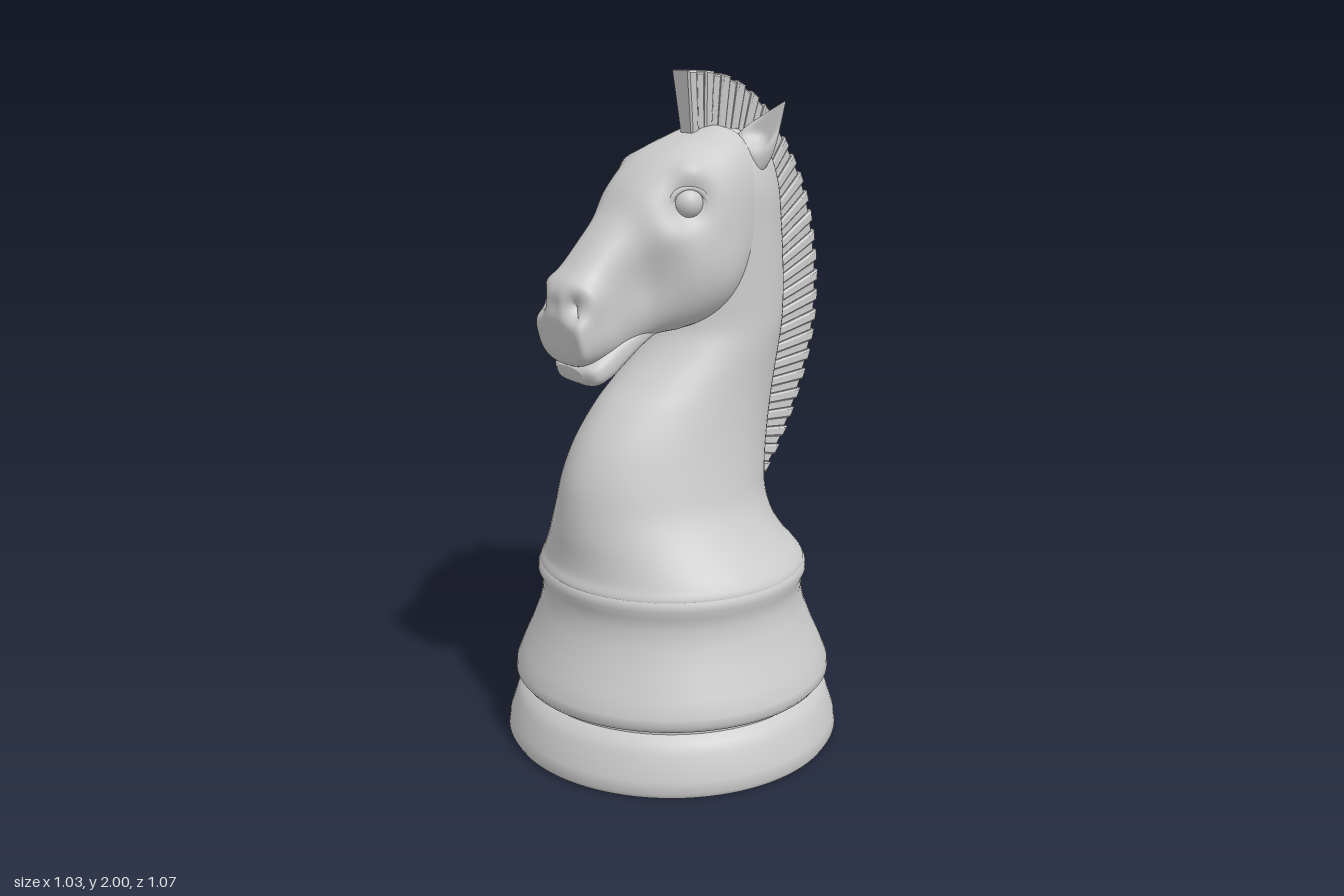
import * as THREE from 'three';
import { toCreasedNormals } from 'three/addons/utils/BufferGeometryUtils.js';

const V2 = (p) => new THREE.Vector2(...p);
const material = new THREE.MeshStandardMaterial({ color: 0xcccccc });

function add(parent, name, geometry) {
  const mesh = new THREE.Mesh(geometry, material);
  mesh.name = name;
  parent.add(mesh);
  return mesh;
}

// Smooth closed skin through oval sections.
// Station: [edgeA z, edgeA y, edgeB z, edgeB y, half width, narrowing toward edge A]
function loft(stations, rows, cols, power) {
  const a = new THREE.CatmullRomCurve3(stations.map((s) => new THREE.Vector3(s[4], s[1], s[0])));
  const b = new THREE.CatmullRomCurve3(stations.map((s) => new THREE.Vector3(s[5] || 0, s[3], s[2])));
  const pos = [], index = [];
  const bend = (v) => Math.sign(v) * Math.abs(v) ** (2 / power);
  for (let i = 0; i <= rows; i++) {
    const p = a.getPoint(i / rows), q = b.getPoint(i / rows);
    for (let j = 0; j < cols; j++) {
      const t = (j / cols) * Math.PI * 2;
      const c = bend(Math.cos(t)), s = bend(Math.sin(t));
      pos.push(p.x * s * (1 - q.x * c), (p.y + q.y + (p.y - q.y) * c) / 2, (p.z + q.z + (p.z - q.z) * c) / 2);
      if (i < rows) {
        const k = i * cols, n = (j + 1) % cols;
        index.push(k + j, k + cols + j, k + n, k + n, k + cols + j, k + cols + n);
      }
    }
  }
  // End caps
  const first = stations[0], last = stations[stations.length - 1];
  const base = (rows + 1) * cols;
  for (const s of [first, last]) pos.push(0, (s[1] + s[3]) / 2, (s[0] + s[2]) / 2);
  for (let j = 0; j < cols; j++) {
    const n = (j + 1) % cols, k = rows * cols;
    index.push(base, j, n, base + 1, k + n, k + j);
  }
  const g = new THREE.BufferGeometry();
  g.setAttribute('position', new THREE.Float32BufferAttribute(pos, 3));
  g.setIndex(index);
  g.computeVertexNormals();
  return g;
}

// Push the surface in or out around mirrored spots: [x, y, z, radius, amount]
function sculpt(g, spots) {
  const P = g.attributes.position, N = g.attributes.normal;
  const v = new THREE.Vector3(), n = new THREE.Vector3();
  for (let i = 0; i < P.count; i++) {
    v.fromBufferAttribute(P, i);
    n.fromBufferAttribute(N, i);
    let d = 0;
    for (const [x, y, z, r, amount] of spots) {
      const q = (Math.abs(v.x) - x) ** 2 + (v.y - y) ** 2 + (v.z - z) ** 2;
      d += amount * Math.exp(-q / (r * r));
    }
    v.addScaledVector(n, d);
    P.setXYZ(i, v.x, v.y, v.z);
  }
  g.computeVertexNormals();
  return g;
}

function curve(points) {
  return new THREE.SplineCurve(points.map(V2));
}

// Hollow turned foot
function buildBase(group) {
  const profile = [
    [0, 0.48], [0.33, 0.47], [0.34, 0.44], [0.34, 0], [0.505, 0], [0.513, 0.015], [0.508, 0.05], [0.485, 0.12],
    [0.47, 0.15], [0.445, 0.168], [0.445, 0.178], [0.472, 0.188], [0.485, 0.205], [0.482, 0.23],
    [0.462, 0.28], [0.435, 0.34], [0.408, 0.41], [0.397, 0.46], [0.4, 0.5], [0.41, 0.525],
    [0.408, 0.545], [0.398, 0.56], [0.36, 0.57], [0, 0.58],
  ].map(V2);
  const base = add(group, 'base', toCreasedNormals(new THREE.LatheGeometry(profile, 96), 0.8));
  base.position.z = 0.02;
}

// Crest of alternating wide and narrow wedges between an inner and an outer curve
function buildMane(group) {
  const outer = curve([[-0.01, 1.998], [-0.1, 1.995], [-0.2, 1.966], [-0.307, 1.893], [-0.408, 1.763], [-0.483, 1.62],
    [-0.524, 1.45], [-0.534, 1.3], [-0.516, 1.15], [-0.46, 0.98], [-0.39, 0.84], [-0.295, 0.7]]);
  const inner = curve([[-0.035, 1.8], [-0.12, 1.82], [-0.2, 1.79], [-0.27, 1.7], [-0.315, 1.55], [-0.335, 1.4],
    [-0.325, 1.2], [-0.295, 1.0], [-0.27, 0.85], [-0.26, 0.725]]);
  const mane = new THREE.Group();
  mane.name = 'mane';
  group.add(mane);
  const count = 26, span = count - 0.45;
  const wedge = (t0, t1, half, inset) => {
    const i0 = inner.getPointAt(t0), i1 = inner.getPointAt(t1);
    const o0 = outer.getPointAt(t0).lerp(i0, inset), o1 = outer.getPointAt(t1).lerp(i1, inset);
    const g = new THREE.ExtrudeGeometry(new THREE.Shape([i0, o0, o1, i1]), {
      depth: half * 2 - 0.012, bevelEnabled: true, bevelSegments: 1, bevelSize: 0.006, bevelOffset: -0.006, bevelThickness: 0.006,
    });
    g.translate(0, 0, 0.006 - half);
    // Thinner toward the root
    const P = g.attributes.position, length = i0.distanceTo(o0);
    for (let i = 0; i < P.count; i++) {
      const reach = Math.min(1, Math.hypot(P.getX(i) - i0.x, P.getY(i) - i0.y) / length);
      P.setZ(i, P.getZ(i) * (0.65 + 0.35 * reach));
    }
    g.computeVertexNormals();
    g.rotateY(-Math.PI / 2);
    add(mane, 'maneTuft', g);
  };
  for (let i = 0; i < count; i++) {
    wedge(i / span, (i + 0.55) / span, 0.04, 0);
    if (i < count - 1) wedge((i + 0.5) / span, (i + 1.05) / span, 0.032, 0.03);
  }
}

// Cupped, pointed ear, opening forward
function buildEar(group, side) {
  const profile = curve([[0.045, -0.08], [0.064, -0.03], [0.06, 0.03], [0.034, 0.1], [0.002, 0.17]]).getPoints(24);
  const g = new THREE.LatheGeometry(profile, 40);
  const P = g.attributes.position;
  for (let i = 0; i < P.count; i++) {
    const x = P.getX(i), z = P.getZ(i), y = P.getY(i);
    const cup = Math.max(0, 1 - (x / 0.045) ** 2) * THREE.MathUtils.smoothstep(y, 0, 0.06);
    P.setZ(i, z > 0 ? z * (0.6 - 0.8 * cup) : z * 0.65);
  }
  g.computeVertexNormals();
  const ear = add(group, side > 0 ? 'leftEar' : 'rightEar', g);
  ear.position.set(side * 0.122, 1.772, -0.175);
  const axis = new THREE.Vector3(side * 0.08, 0.148, -0.063).normalize();
  ear.quaternion.setFromUnitVectors(new THREE.Vector3(0, 1, 0), axis);
  ear.rotateY(side * 0.35);
}

// Eyeball with a lid ring
function buildEye(group, side) {
  const eye = new THREE.Group();
  eye.name = side > 0 ? 'leftEye' : 'rightEye';
  eye.position.set(side * 0.136, 1.642, 0.07);
  eye.rotation.y = side * (Math.PI / 2 - 0.4);
  group.add(eye);
  add(eye, 'eyeball', new THREE.SphereGeometry(0.045, 32, 20));
  const lid = add(eye, 'eyelid', new THREE.TorusGeometry(0.046, 0.009, 10, 40));
  lid.position.z = 0.016;
  lid.scale.set(1.15, 0.95, 1);
}

export function createModel() {
  const group = new THREE.Group();
  buildBase(group);

  // Neck and chest, top to bottom
  add(group, 'neck', loft([
    [-0.12, 1.835, -0.2, 1.83, 0.06], [-0.02, 1.78, -0.285, 1.78, 0.145], [0.01, 1.68, -0.335, 1.68, 0.178, -0.08],
    [0.02, 1.55, -0.355, 1.55, 0.183, -0.1], [0.03, 1.4, -0.362, 1.4, 0.187, -0.06], [0.05, 1.27, -0.355, 1.27, 0.192],
    [0.1, 1.2, -0.347, 1.2, 0.195], [0.19, 1.12, -0.335, 1.12, 0.198, 0.03], [0.27, 1.05, -0.322, 1.05, 0.204, 0.06],
    [0.345, 0.95, -0.305, 0.95, 0.219, 0.06], [0.387, 0.85, -0.288, 0.85, 0.24, 0.06], [0.402, 0.76, -0.281, 0.76, 0.266, 0.04],
    [0.407, 0.69, -0.293, 0.69, 0.305, 0.02], [0.407, 0.63, -0.325, 0.63, 0.35], [0.412, 0.585, -0.362, 0.585, 0.387],
    [0.423, 0.555, -0.383, 0.555, 0.403], [0.42, 0.535, -0.38, 0.535, 0.4],
  ], 90, 72, 2));

  // Head, poll to muzzle
  const head = loft([
    [-0.27, 1.7, -0.2, 1.56, 0.08], [-0.21, 1.785, -0.165, 1.43, 0.155], [-0.13, 1.842, -0.125, 1.35, 0.186],
    [-0.01, 1.815, -0.045, 1.29, 0.206], [0.1, 1.768, 0.05, 1.265, 0.19], [0.19, 1.695, 0.12, 1.258, 0.153],
    [0.25, 1.615, 0.165, 1.245, 0.12], [0.32, 1.54, 0.21, 1.23, 0.106], [0.38, 1.475, 0.25, 1.218, 0.105],
    [0.418, 1.437, 0.3, 1.208, 0.112], [0.436, 1.4, 0.36, 1.198, 0.113], [0.438, 1.35, 0.398, 1.204, 0.104],
    [0.432, 1.31, 0.418, 1.24, 0.06],
  ], 110, 80, 2.7);
  add(group, 'head', sculpt(head, [
    [0.18, 1.64, 0.09, 0.06, -0.038], // eye socket
    [0.16, 1.735, 0.075, 0.045, 0.02], // brow
    [0.15, 1.55, 0.14, 0.05, 0.01], // cheekbone
    [0.2, 1.43, -0.01, 0.11, 0.01], // jaw muscle
    [0.13, 1.42, 0.2, 0.08, -0.014], // hollow before the cheek
    [0.105, 1.4, 0.39, 0.05, 0.018], // nostril flare
    [0.088, 1.38, 0.425, 0.036, -0.055], // nostril
    [0, 1.38, 0.44, 0.03, -0.008],
  ]));

  // Lower jaw and lip, closing against the muzzle
  add(group, 'lowerLip', loft([
    [0.13, 1.33, 0.12, 1.262, 0.08], [0.21, 1.3, 0.19, 1.222, 0.088], [0.28, 1.275, 0.25, 1.18, 0.098],
    [0.338, 1.243, 0.3, 1.15, 0.106], [0.376, 1.212, 0.345, 1.138, 0.099], [0.392, 1.195, 0.378, 1.152, 0.06],
  ], 36, 48, 2.6));

  for (const side of [1, -1]) {
    buildEar(group, side);
    buildEye(group, side);
  }
  buildMane(group);
  return group;
}
